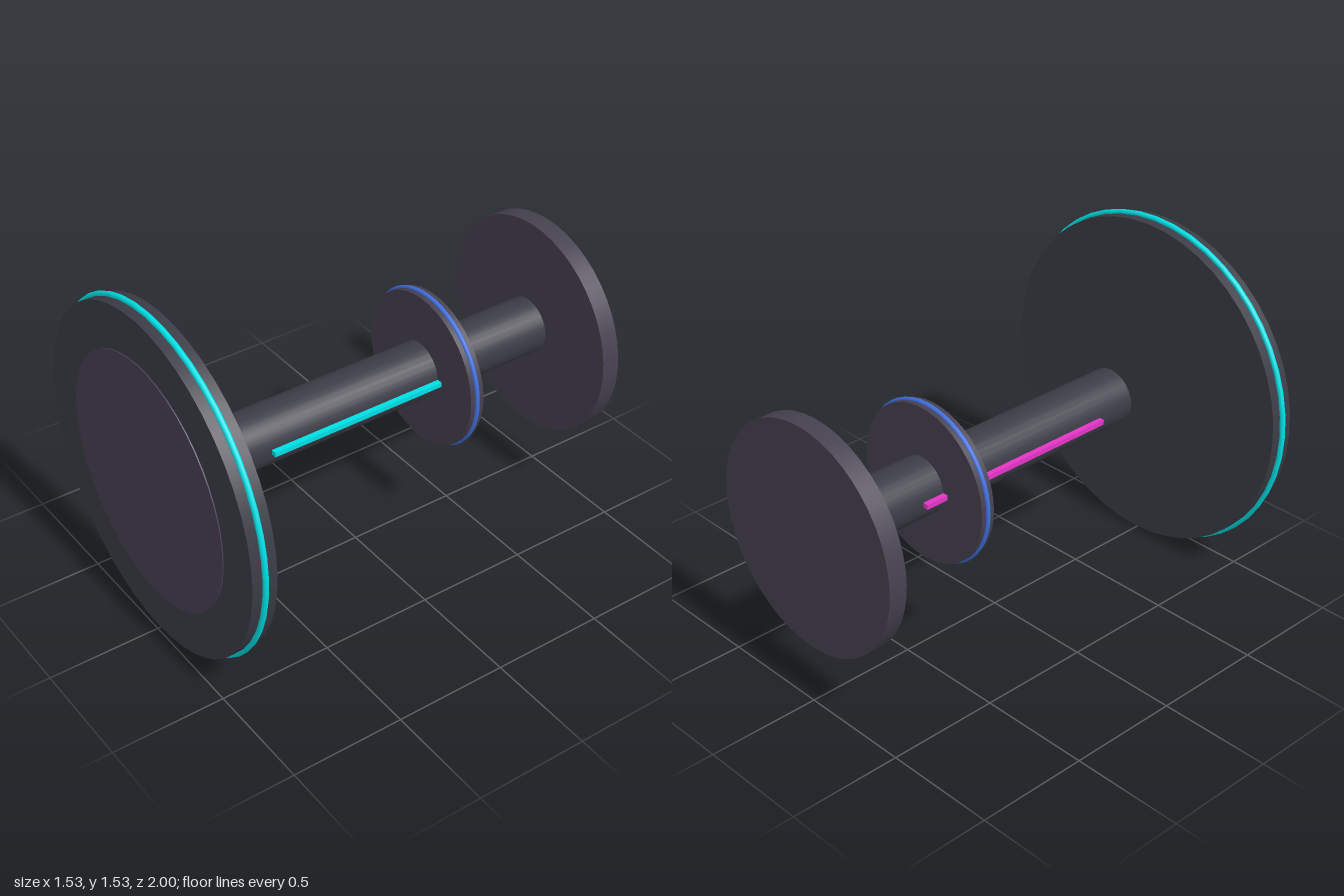
import * as THREE from 'three';

const AXIS_Y = 0.765;

export function createModel() {
  const model = new THREE.Group();
  const material = (color) => new THREE.MeshStandardMaterial({ color });
  const darkGrey = material(0x3c3c47);
  const plumGrey = material(0x464150);
  const plum = material(0x4a4058);
  const cyan = material(0x00e0e5);
  const blue = material(0x4070e0);
  const magenta = material(0xe535c8);

  const add = (name, geometry, mat, x, z) => {
    const mesh = new THREE.Mesh(geometry, mat);
    mesh.name = name;
    mesh.position.set(x, AXIS_Y, z);
    model.add(mesh);
  };
  // Cylinder lying along z between two depths
  const disc = (name, radius, z0, z1, mat, sides = 48) => {
    const geometry = new THREE.CylinderGeometry(radius, radius, z1 - z0, sides);
    add(name, geometry.rotateX(Math.PI / 2), mat, 0, (z0 + z1) / 2);
  };
  const ring = (name, radius, tube, z, mat) =>
    add(name, new THREE.TorusGeometry(radius, tube, 10, 48), mat, 0, z);

  // Large front plate with a thin raised face and glowing rim
  disc('frontPlate', 0.747, 0.885, 0.995, darkGrey);
  disc('frontFace', 0.552, 0.98, 1, plum);
  ring('frontRim', 0.752, 0.0125, 0.94, cyan);

  // Central shaft, separate from the front plate
  disc('shaft', 0.125, -0.93, 0.69, darkGrey, 32);

  // Middle collar with its rim
  disc('collar', 0.348, -0.397, -0.333, plumGrey);
  ring('collarRim', 0.348, 0.0105, -0.365, blue);

  // Rear plate
  disc('rearPlate', 0.497, -1, -0.917, plumGrey);

  // Light strips on both sides of the shaft
  for (const [name, side, mat] of [['leftStrip', 1, cyan], ['rightStrip', -1, magenta]]) {
    add(name, new THREE.BoxGeometry(0.025, 0.022, 1), mat, side * 0.136, -0.004);
  }
  return model;
}
